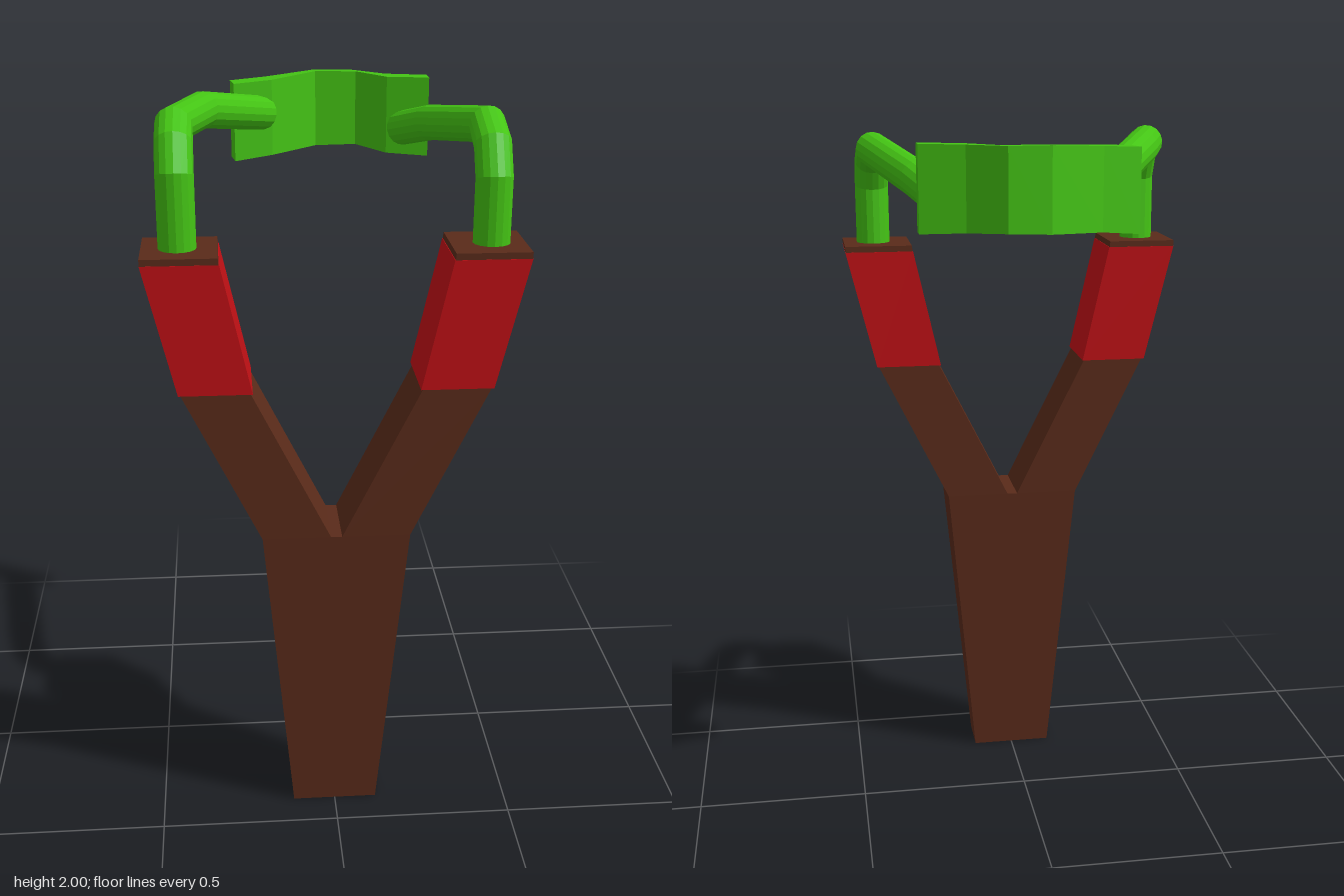
import * as THREE from 'three';

const material = (color) => new THREE.MeshStandardMaterial({ color, flatShading: true, side: THREE.DoubleSide });
const wood = material(0x5a2b1a), red = material(0xc01015), green = material(0x44c414);

// Joins four-cornered cross-sections into a closed solid.
function loft(rings) {
  const pos = [];
  const quad = (a, b, c, d) => [a, b, c, a, c, d].forEach((p) => pos.push(...p));
  for (let i = 0; i < rings.length - 1; i++) {
    for (let j = 0; j < 4; j++) {
      const k = (j + 1) % 4;
      quad(rings[i][j], rings[i][k], rings[i + 1][k], rings[i + 1][j]);
    }
  }
  quad(...[...rings[0]].reverse());
  quad(...rings[rings.length - 1]);
  const g = new THREE.BufferGeometry();
  g.setAttribute('position', new THREE.Float32BufferAttribute(pos, 3));
  g.computeVertexNormals();
  return g;
}

// Horizontal rectangle, sorted so mirrored sections keep their winding.
function section(xa, xb, y, z0, z1) {
  const x0 = Math.min(xa, xb), x1 = Math.max(xa, xb);
  return [[x0, y, z1], [x1, y, z1], [x1, y, z0], [x0, y, z0]];
}

// Path with one tube ring at each given point.
class BentPath extends THREE.Curve {
  constructor(points) {
    super();
    this.points = points.map((p) => new THREE.Vector3(...p));
    this.last = points.length - 1;
  }
  getPoint(t, target = new THREE.Vector3()) {
    return target.copy(this.points[Math.round(t * this.last)]);
  }
  getPointAt(u, target) { return this.getPoint(u, target); }
  getTangentAt(u, target = new THREE.Vector3()) {
    const i = Math.round(u * this.last), p = this.points;
    target.set(0, 0, 0);
    if (i > 0) target.add(p[i].clone().sub(p[i - 1]).normalize());
    if (i < this.last) target.add(p[i + 1].clone().sub(p[i]).normalize());
    return target.normalize();
  }
}

export function createModel() {
  const model = new THREE.Group();
  model.name = 'slingshot';
  const add = (name, geometry, mat) => {
    const mesh = new THREE.Mesh(geometry, mat);
    mesh.name = name;
    model.add(mesh);
  };

  // Tapered handle
  add('handle', loft([
    section(-0.12, 0.12, 0, 0.277, 0.4),
    section(-0.2, 0.2, 0.88, 0.237, 0.438),
  ]), wood);

  // Fork arms with wraps and wooden tips
  for (const [side, s] of [['left', 1], ['right', -1]]) {
    add(side + 'ForkArm', loft([
      section(s * 0.015, s * 0.2, 0.88, 0.237, 0.438),
      section(s * 0.224, s * 0.405, 1.3, 0.237, 0.438),
      section(s * 0.3, s * 0.485, 1.645, 0.237, 0.438),
    ]), wood);
    add(side + 'Wrap', loft([
      section(s * 0.218, s * 0.41, 1.3, 0.228, 0.444),
      section(s * 0.295, s * 0.493, 1.645, 0.225, 0.444),
    ]), red);
    add(side + 'ForkTip', loft([
      section(s * 0.296, s * 0.492, 1.64, 0.226, 0.443),
      section(s * 0.298, s * 0.493, 1.662, 0.226, 0.443),
    ]), wood);
  }

  // Bands, bent back from the tips to the pouch
  const bands = {
    leftBand: [[0.405, 1.62, 0.338], [0.405, 1.83, 0.34], [0.405, 1.905, 0.3],
      [0.405, 1.94, 0.21], [0.31, 1.885, -0.13], [0.25, 1.84, -0.3]],
    rightBand: [[-0.4, 1.62, 0.338], [-0.4, 1.85, 0.34], [-0.4, 1.92, 0.3],
      [-0.4, 1.952, 0.23], [-0.33, 1.95, 0], [-0.16, 1.885, -0.32]],
  };
  for (const [name, points] of Object.entries(bands)) {
    add(name, new THREE.TubeGeometry(new BentPath(points), points.length - 1, 0.049, 16), green);
  }

  // Pouch: back x, back z, inner x, inner z, bottom y, top y
  const pouch = [
    [-0.25, -0.34, -0.24, -0.27, 1.755, 1.976],
    [-0.145, -0.372, -0.13, -0.305, 1.765, 1.981],
    [0, -0.445, 0.003, -0.41, 1.771, 1.989],
    [0.11, -0.442, 0.122, -0.405, 1.774, 1.988],
    [0.205, -0.36, 0.203, -0.298, 1.768, 1.987],
    [0.322, -0.322, 0.322, -0.268, 1.763, 1.988],
  ];
  add('pouch', loft(pouch.map(([bx, bz, ix, iz, y0, y1]) =>
    [[bx, y0, bz], [bx, y1, bz], [ix, y1, iz], [ix, y0, iz]])), green);

  return model;
}
